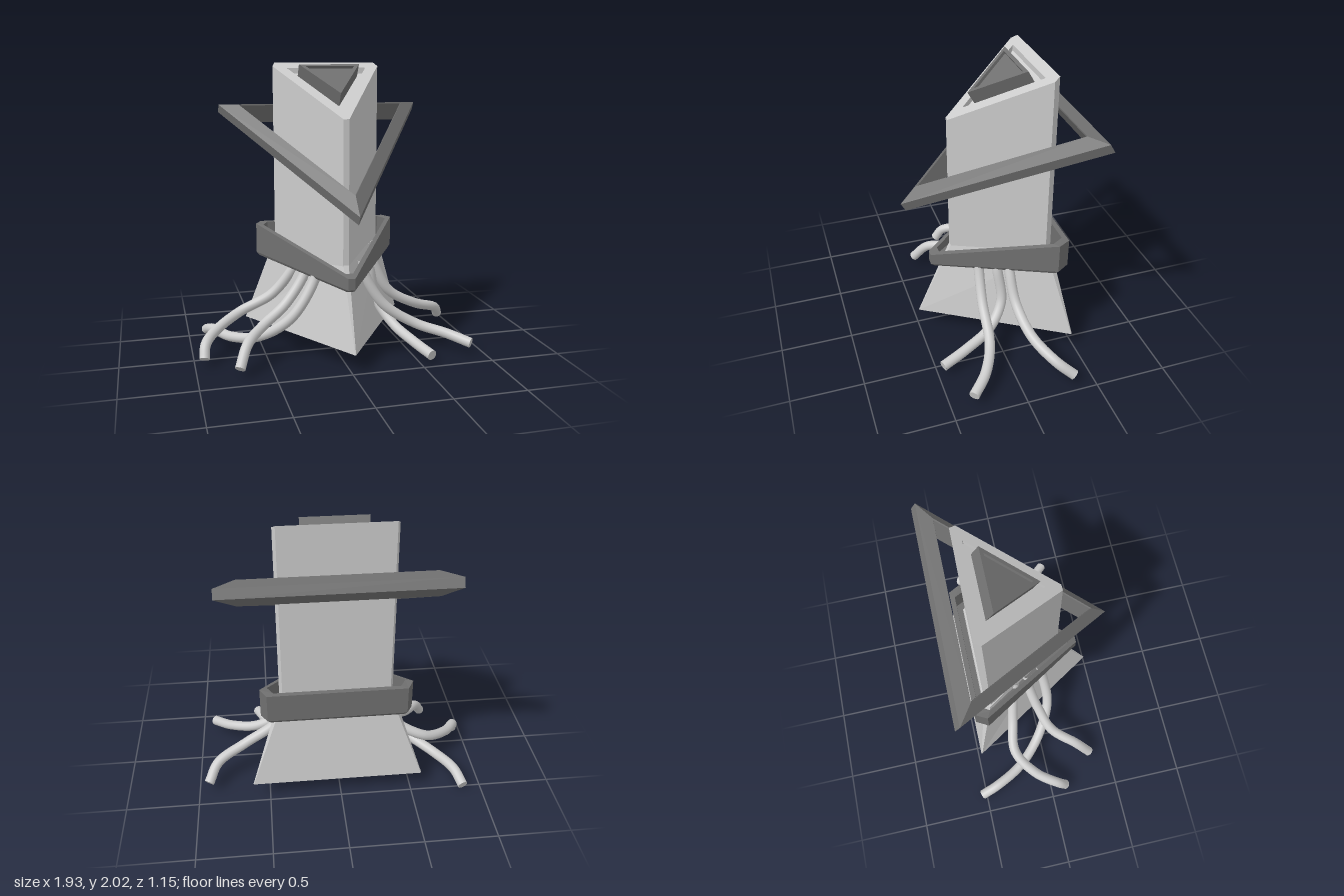
import * as THREE from 'three';

const light = new THREE.MeshStandardMaterial({ color: 0xcccccc, flatShading: true });
const dark = new THREE.MeshStandardMaterial({ color: 0x707070, flatShading: true });
const smooth = new THREE.MeshStandardMaterial({ color: 0xcccccc });
const AXIS_X = 0.02; // the tower stands slightly off centre
const TILT = Math.PI / 6;

// Skin a series of equal-length loops (counterclockwise from above)
function loft(loops, capped = true) {
  const pos = [];
  const tri = (a, b, c) => pos.push(...a, ...b, ...c);
  const n = loops[0].length;
  for (let k = 0; k < loops.length - 1; k++) {
    const a = loops[k], b = loops[k + 1];
    for (let i = 0; i < n; i++) {
      const j = (i + 1) % n;
      tri(a[i], a[j], b[j]);
      tri(a[i], b[j], b[i]);
    }
  }
  if (capped) {
    const first = loops[0], last = loops[loops.length - 1];
    for (let i = 1; i < n - 1; i++) {
      tri(first[0], first[i + 1], first[i]);
      tri(last[0], last[i], last[i + 1]);
    }
  }
  const g = new THREE.BufferGeometry();
  g.setAttribute('position', new THREE.Float32BufferAttribute(pos, 3));
  g.computeVertexNormals();
  return g;
}

// Triangle with clipped corners; height is a function of z
function clipped(half, tip, back, t, cx, cz, y) {
  return [[-t, tip], [t, tip], [half, back + cz], [half - cx, back], [cx - half, back], [-half, back + cz]]
    .map(([x, z]) => [x, y(z), z]);
}

// Equilateral triangle pointing to +z
function equilateral(r, y) {
  return [0, 1, 2].map(i => {
    const a = i * Math.PI * 2 / 3;
    return [r * Math.sin(a), y, r * Math.cos(a)];
  });
}

function part(name, geometry, material) {
  const m = new THREE.Mesh(geometry, material);
  m.name = name;
  return m;
}

export function createModel() {
  const model = new THREE.Group();
  model.name = 'tower';
  const body = new THREE.Group();
  body.name = 'towerBody';
  body.position.x = AXIS_X;
  model.add(body);

  // Column with sloping roof and a recessed panel
  const roof = z => 2 - 0.59 * (z + 0.37);
  const recess = d => clipped(0.285, 0.13, -0.31, 0.003, 0.003, 0.005, z => roof(z) - d);
  const columnLoop = y => clipped(0.385, 0.24, -0.37, 0.02, 0.02, 0.04, y);
  body.add(part('column', loft([columnLoop(() => 0.6), columnLoop(roof), recess(0), recess(0.04)]), light));

  // Flared foot
  body.add(part('base', loft([
    clipped(0.595, 0.49, -0.476, 0.003, 0.004, 0.006, () => 0.11),
    clipped(0.4, 0.22, -0.38, 0.02, 0.02, 0.04, () => 0.7),
  ]), light));

  // Collar: an open tray around the column
  const collarTop = z => Math.min(0.845, 0.605 + 0.316 * (0.39 - z));
  const collarBottom = z => 0.51 + 0.141 * (0.39 - z);
  const outer = y => clipped(0.515, 0.39, -0.46, 0.025, 0.045, 0.085, y);
  const inner = y => clipped(0.465, 0.33, -0.425, 0.025, 0.04, 0.075, y);
  body.add(part('collar', loft([
    clipped(0.495, 0.365, -0.445, 0.025, 0.045, 0.085, z => collarBottom(z) - 0.005),
    outer(z => collarBottom(z) + 0.015), outer(collarTop), inner(collarTop),
    inner(z => collarBottom(z) + 0.05),
  ]), dark));

  // Tilted triangular ring around the column
  const section = [[0.863, -0.033], [0.863, 0.033], [0.71, 0.083], [0.7, 0.075], [0.7, -0.07], [0.71, -0.074], [0.863, -0.033]];
  const ring = part('tiltedRing', loft(section.map(([r, y]) => equilateral(r, y)), false), dark);
  ring.rotation.x = TILT;
  ring.position.set(0, 1.458, -0.189);
  body.add(ring);

  // Triangular block set into the roof, with a rim
  const block = part('roofBlock', loft([
    equilateral(0.25, -0.06), equilateral(0.25, 0.06), equilateral(0.2, 0.06), equilateral(0.2, 0.04),
  ]), dark);
  block.rotation.x = TILT;
  const u = -1.065, n = 1.55;
  block.position.set(0, n * Math.cos(TILT) - u * Math.sin(TILT), u * Math.cos(TILT) + n * Math.sin(TILT));
  body.add(block);

  // Cables spilling from under the collar
  const cables = [
    [[0.28, 0.65, -0.1], [0.33, 0.54, -0.1], [0.44, 0.35, -0.11], [0.66, 0.22, -0.15], [0.86, 0.14, -0.25], [0.93, 0.05, -0.36]],
    [[0.18, 0.65, 0.085], [0.2, 0.54, 0.085], [0.33, 0.32, 0.1], [0.57, 0.16, 0.125], [0.77, 0.1, 0.22], [0.905, 0.06, 0.345]],
    [[0.24, 0.65, -0.03], [0.27, 0.54, -0.03], [0.33, 0.3, -0.04], [0.42, 0.15, 0.08], [0.5, 0.085, 0.27], [0.57, 0.045, 0.46]],
    [[-0.14, 0.65, 0.085], [-0.16, 0.54, 0.09], [-0.33, 0.27, 0.1], [-0.54, 0.11, -0.02], [-0.72, 0.06, -0.2], [-0.83, 0.06, -0.4], [-0.87, 0.015, -0.53]],
    [[-0.22, 0.65, -0.13], [-0.27, 0.55, -0.15], [-0.42, 0.36, -0.19], [-0.64, 0.24, -0.22], [-0.82, 0.165, -0.1], [-0.92, 0.11, 0.05], [-0.935, 0.03, 0.11]],
    [[-0.18, 0.65, -0.03], [-0.21, 0.54, -0.03], [-0.36, 0.34, 0.015], [-0.53, 0.225, 0.09], [-0.66, 0.16, 0.25], [-0.725, 0.035, 0.35]],
  ];
  const r = 0.036;
  cables.forEach((points, i) => {
    const curve = new THREE.CatmullRomCurve3(points.map(p => new THREE.Vector3(...p)));
    const cable = new THREE.Group();
    cable.name = `cable${i + 1}`;
    cable.add(part('cableTube', new THREE.TubeGeometry(curve, 48, r, 16), smooth));
    const end = part('cableEnd', new THREE.CircleGeometry(r, 16), smooth);
    end.position.copy(curve.getPoint(1));
    end.quaternion.setFromUnitVectors(new THREE.Vector3(0, 0, 1), curve.getTangent(1));
    cable.add(end);
    model.add(cable);
  });

  return model;
}
